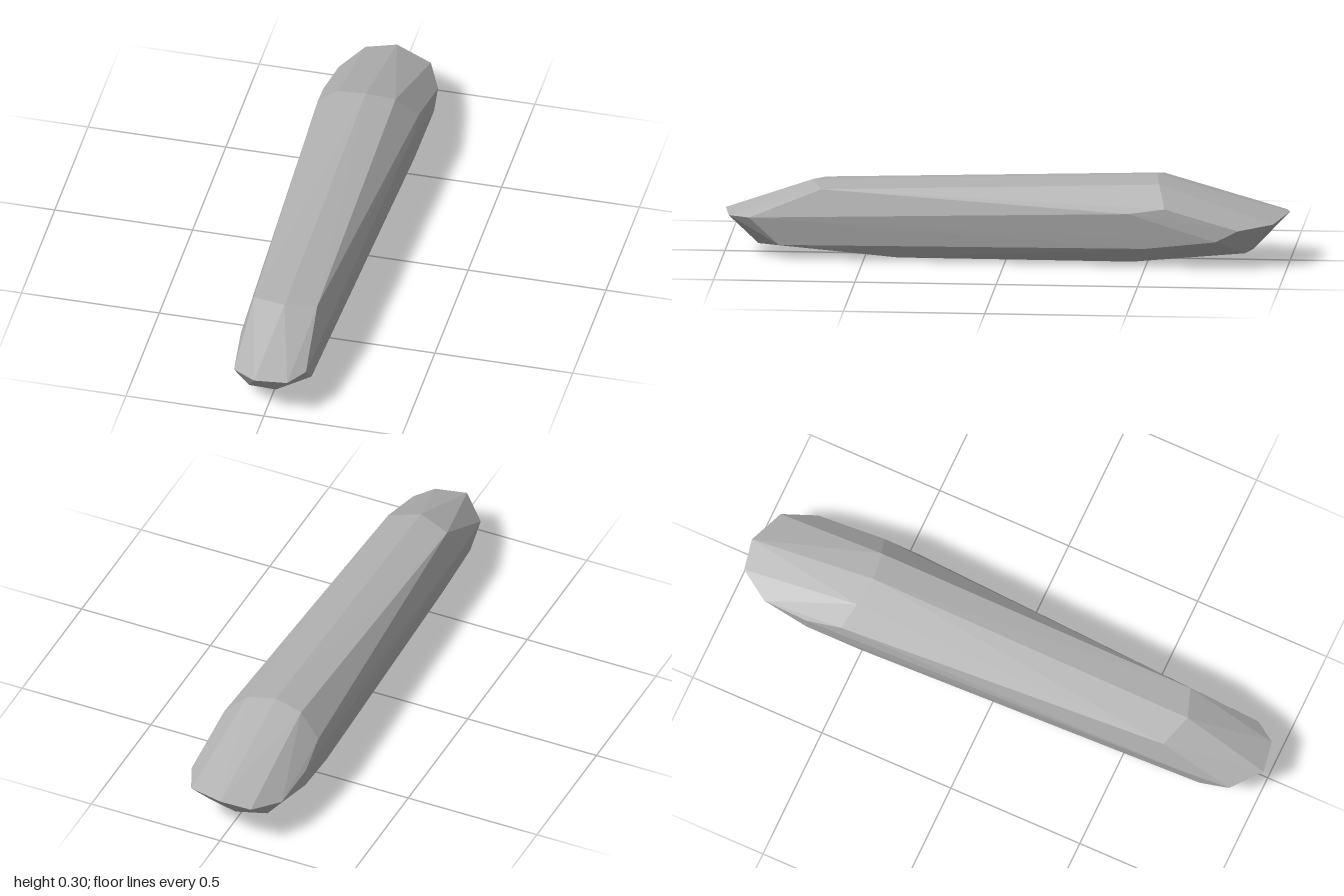
import * as THREE from 'three';
import { ConvexGeometry } from 'three/addons/geometries/ConvexGeometry.js';

const stone = new THREE.MeshStandardMaterial({ color: 0xb0b0b0 });
stone.name = 'stone grey';
stone.flatShading = true;

// Corner rings of the long, faceted stone
const corners = {
  topFront: [[-0.12, 0.248, 0.65], [0, 0.263, 0.69], [0.11, 0.25, 0.65]],
  topBack: [[-0.105, 0.286, -0.545], [0, 0.303, -0.53], [0.105, 0.286, -0.545]],
  frontTip: [[-0.13, 0.117, 0.91], [-0.035, 0.15, 1], [0.08, 0.145, 0.98], [0.13, 0.148, 0.905]],
  frontUnder: [[-0.14, 0.07, 0.8], [-0.085, 0.027, 0.87], [0.015, 0.032, 0.88], [0.125, 0.05, 0.8]],
  sideFront: [[-0.15, 0.14, 0.72]],
  backTip: [[-0.18, 0.14, -0.87], [-0.11, 0.16, -0.98], [0, 0.175, -1], [0.135, 0.155, -0.95], [0.19, 0.14, -0.83]],
  backUnder: [[-0.11, 0.045, -0.84], [0, 0.038, -0.87], [0.11, 0.045, -0.85]],
  leftSide: [[0.183, 0.213, -0.57], [0.187, 0.195, -0.44], [0.195, 0.1, -0.75], [0.183, 0.07, -0.5]],
  rightSide: [[-0.183, 0.21, -0.57], [-0.195, 0.165, -0.7], [-0.193, 0.1, -0.7], [-0.183, 0.07, -0.5]],
  base: [[-0.12, 0.01, 0.62], [-0.06, 0.004, 0.64], [0.115, 0.01, 0.38], [0.05, 0, 0.2],
    [-0.015, 0, -0.18], [-0.12, 0.01, -0.45], [0.12, 0.01, -0.45]],
};

export function createModel() {
  const group = new THREE.Group();
  group.name = 'longStone';

  // Faceted body wrapped around the corner rings
  const points = Object.values(corners).flat().map((p) => new THREE.Vector3(...p));
  const body = new THREE.Mesh(new ConvexGeometry(points), stone);
  body.name = 'stoneBody';
  group.add(body);
  return group;
}
